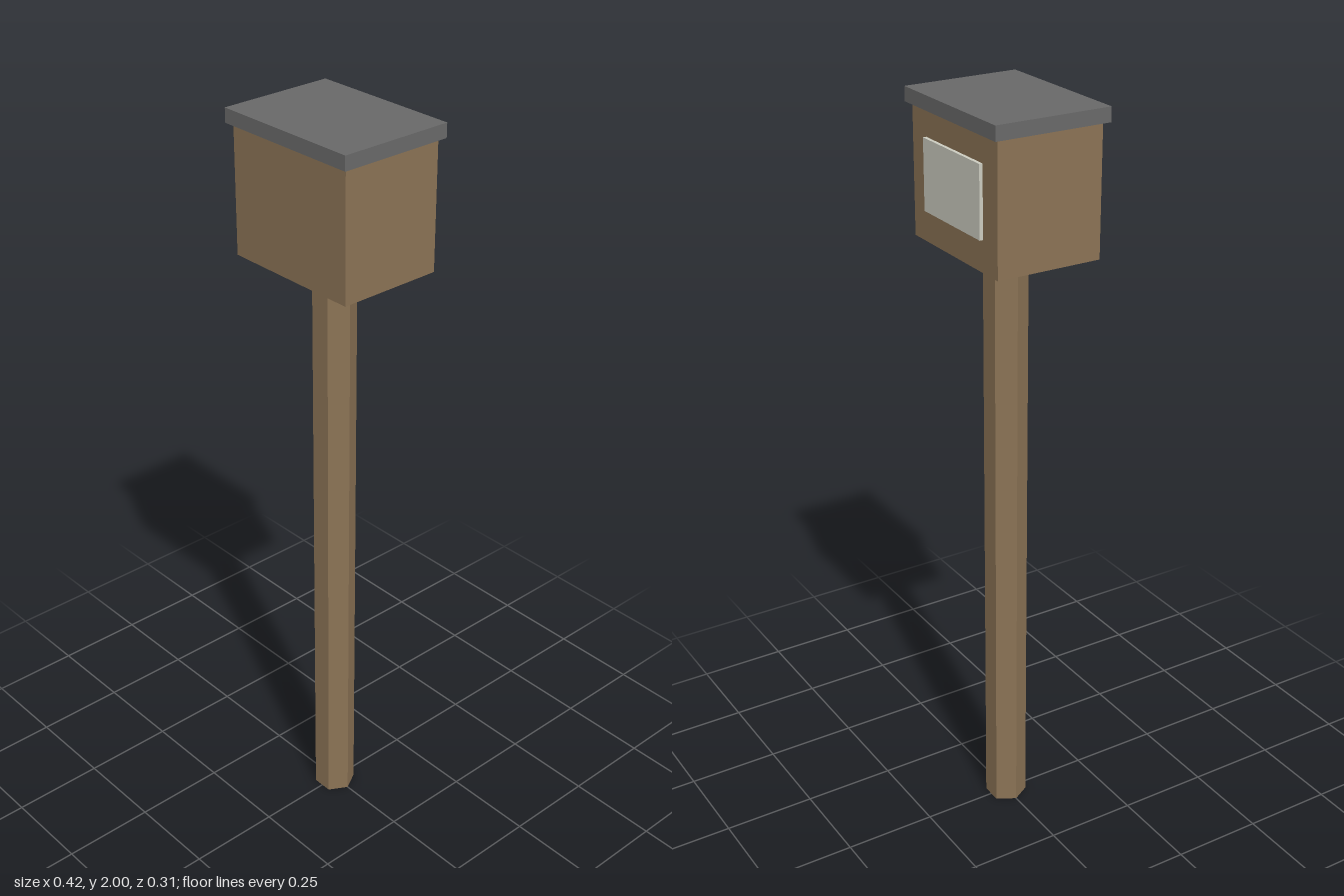
import * as THREE from 'three';

function material(name, color) {
  const m = new THREE.MeshStandardMaterial({ color });
  m.name = name;
  return m;
}

export function createModel() {
  const wood = material('brown wood', 0x8b7355);
  const slate = material('grey roof', 0x696969);
  const pale = material('pale panel', 0xccccc0);

  const model = new THREE.Group();
  model.name = 'postBox';

  function add(name, geometry, mat, y, z = 0) {
    const mesh = new THREE.Mesh(geometry, mat);
    mesh.name = name;
    mesh.position.set(0, y, z);
    model.add(mesh);
  }

  // Six-sided post with corners pointing left and right, smooth faces kept crisp
  const post = new THREE.CylinderGeometry(0.056, 0.056, 1.63, 6).rotateY(Math.PI / 6).toNonIndexed();
  post.computeVertexNormals();
  add('post', post, wood, 0.815);

  // Box on top of the post, with an overhanging flat lid
  add('box', new THREE.BoxGeometry(0.39, 0.335, 0.285), wood, 1.7975);
  add('roof', new THREE.BoxGeometry(0.416, 0.037, 0.312), slate, 1.9815);

  // Thin panel on the back of the box
  add('backPanel', new THREE.BoxGeometry(0.26, 0.182, 0.009), pale, 1.802, -0.147);

  return model;
}
